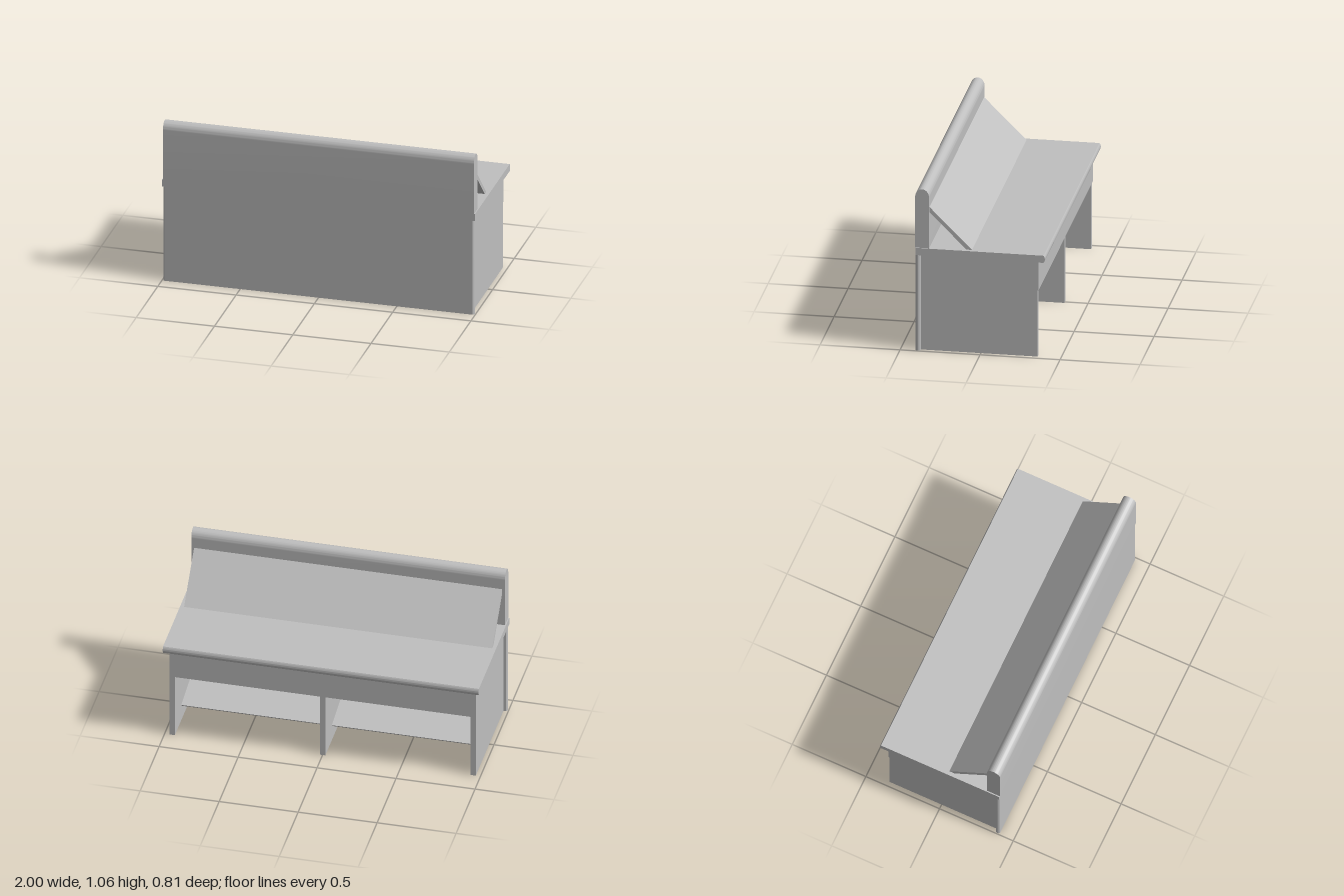
import * as THREE from 'three';
import { toCreasedNormals } from 'three/addons/utils/BufferGeometryUtils.js';

export function createModel() {
  const group = new THREE.Group();
  const grey = new THREE.MeshStandardMaterial({ color: 0xbfbfbf });
  grey.name = 'light grey';

  function add(name, geometry) {
    const mesh = new THREE.Mesh(geometry, grey);
    mesh.name = name;
    group.add(mesh);
  }

  // Box given by its limits on each axis
  function box(name, x0, x1, y0, y1, z0, z1) {
    const g = new THREE.BoxGeometry(x1 - x0, y1 - y0, z1 - z0);
    g.translate((x0 + x1) / 2, (y0 + y1) / 2, (z0 + z1) / 2);
    add(name, g);
  }

  // Profile drawn in (z, y), run along x from x0 to x1
  function run(name, shape, x0, x1) {
    const g = new THREE.ExtrudeGeometry(shape, { depth: x1 - x0, bevelEnabled: false, curveSegments: 16 });
    g.rotateY(-Math.PI / 2);
    g.translate(x1, 0, 0);
    add(name, toCreasedNormals(g, 0.6));
  }
  const polygon = (pts) => new THREE.Shape(pts.map(([z, y]) => new THREE.Vector2(z, y)));

  // Top board with a rounded rear edge
  const top = polygon([[-0.397, 0.63], [0.405, 0.63], [0.405, 0.677], [-0.397, 0.677]]);
  top.quadraticCurveTo(-0.413, 0.6535, -0.397, 0.63);
  run('topBoard', top, -1, 1);

  // Upright board with a rounded crest
  const upright = polygon([[0.32, 0.677], [0.407, 0.677], [0.407, 1.01]]);
  upright.absellipse(0.3635, 1.01, 0.0435, 0.052, 0, Math.PI, false);
  run('uprightBoard', upright, -0.993, 0.993);

  // Sloping rest and its central bracket
  run('slopingRest', polygon([[0.055, 0.677], [0.09, 0.677], [0.32, 0.908], [0.32, 0.942]]), -0.975, 0.975);
  run('restBracket', polygon([[0.09, 0.677], [0.32, 0.677], [0.32, 0.908]]), -0.0175, 0.0175);

  // Front panel, with rounded ends standing proud of the sides
  const plan = new THREE.Shape();
  plan.moveTo(-0.985, -0.405);
  plan.lineTo(0.985, -0.405);
  plan.quadraticCurveTo(1.005, -0.39, 0.985, -0.375);
  plan.lineTo(-0.985, -0.375);
  plan.quadraticCurveTo(-1.005, -0.39, -0.985, -0.405);
  const panel = new THREE.ExtrudeGeometry(plan, { depth: 0.63, bevelEnabled: false, curveSegments: 8 });
  panel.rotateX(-Math.PI / 2);
  add('frontPanel', toCreasedNormals(panel, 0.6));

  // Sides and central divider
  for (const [name, x] of [['leftSide', 0.9525], ['divider', 0], ['rightSide', -0.9525]]) {
    box(name, x - 0.0175, x + 0.0175, 0, 0.63, -0.355, 0.375);
  }

  // Apron across the back
  box('rearApron', -0.969, 0.969, 0.435, 0.63, -0.36, -0.335);

  // Tilted shelf in each bay
  const shelf = polygon([[-0.185, 0.112], [-0.175, 0.1], [0.125, 0.145], [0.135, 0.16], [0.125, 0.168]]);
  run('leftShelf', shelf, 0.0175, 0.935);
  run('rightShelf', shelf, -0.935, -0.0175);

  return group;
}
